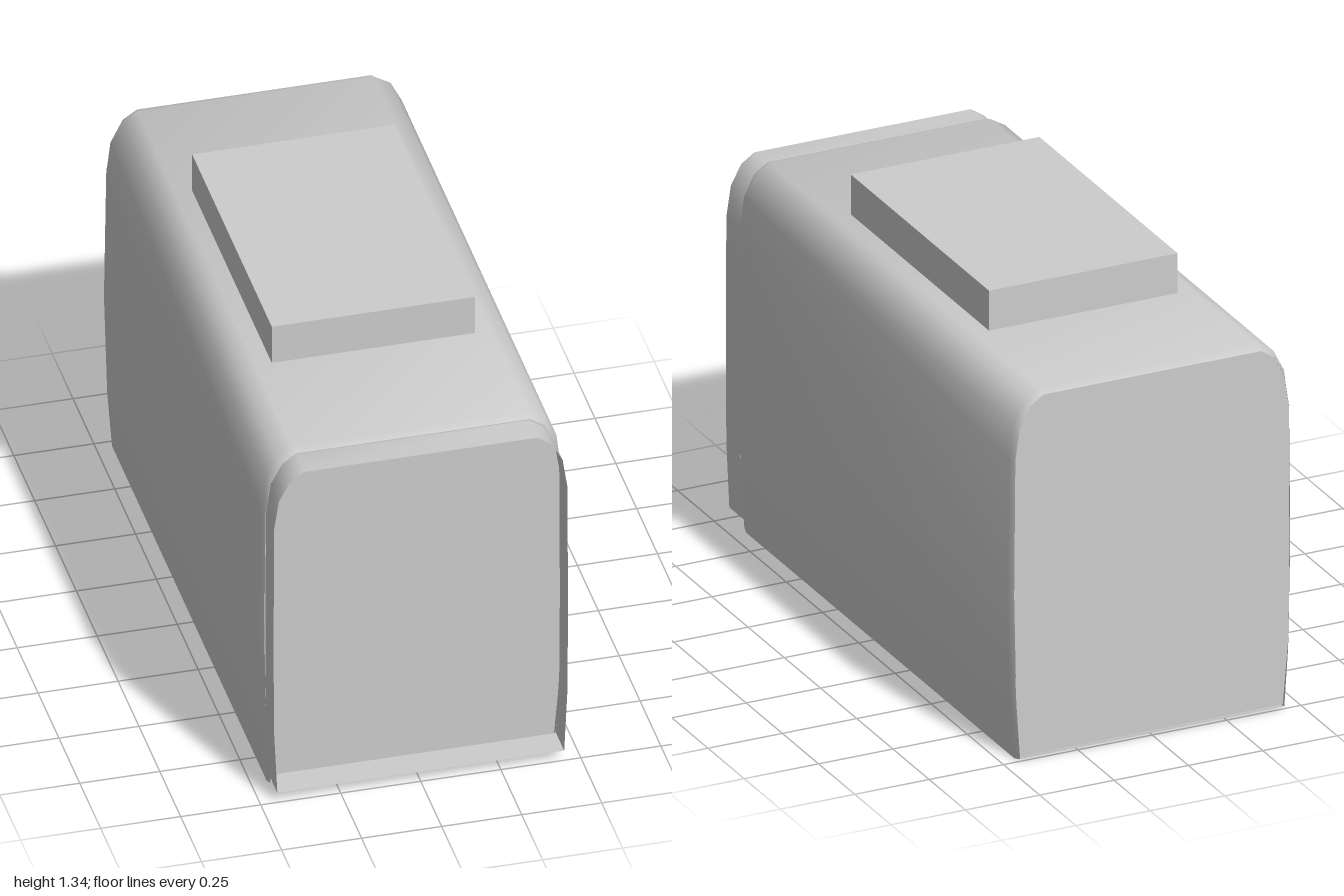
import * as THREE from 'three';
import { toCreasedNormals } from 'three/addons/utils/BufferGeometryUtils.js';

// Right half of each outline, from the bottom corner up to the flat top
const OUTER = [[0.45, 0], [0.465, 0.2], [0.475, 0.55], [0.468, 1.0], [0.455, 1.11], [0.42, 1.18], [0.37, 1.21]];
const LIP = [[0.444, 0.008], [0.457, 0.2], [0.464, 0.55], [0.46, 1.0], [0.445, 1.1], [0.41, 1.17], [0.366, 1.2]];
const PANEL = [[0.44, 0.015], [0.46, 0.25], [0.462, 0.55], [0.46, 1.0], [0.445, 1.1], [0.41, 1.17], [0.366, 1.2]];
const RIM = [[0.448, 0.035], [0.458, 0.25], [0.46, 0.55], [0.458, 1.0], [0.443, 1.1], [0.408, 1.165], [0.364, 1.195]];

// Mirror a half outline into a closed loop
const mirror = (half) => [...half, ...half.slice().reverse().map(([x, y]) => [-x, y])];

// Open tube through cross-sections [half outline, z]
function loft(sections) {
  const positions = [];
  const index = [];
  const loops = sections.map(([half, z]) => mirror(half).map(([x, y]) => [x, y, z]));
  const n = loops[0].length;
  loops.forEach((loop) => loop.forEach((p) => positions.push(...p)));
  for (let k = 0; k < loops.length - 1; k++) {
    for (let i = 0; i < n; i++) {
      const j = (i + 1) % n;
      const a = k * n + i, b = k * n + j;
      index.push(a, b, b + n, a, b + n, a + n);
    }
  }
  const geometry = new THREE.BufferGeometry();
  geometry.setAttribute('position', new THREE.Float32BufferAttribute(positions, 3));
  geometry.setIndex(index);
  return toCreasedNormals(geometry, 0.9);
}

export function createModel() {
  const group = new THREE.Group();
  const grey = new THREE.MeshStandardMaterial({ color: 0xcccccc, side: THREE.DoubleSide });
  grey.name = 'grey';

  const add = (name, geometry, z = 0, y = 0) => {
    const mesh = new THREE.Mesh(geometry, grey);
    mesh.name = name;
    mesh.position.set(0, y, z);
    group.add(mesh);
    return mesh;
  };

  // Long rounded shell with slightly drawn-in ends
  add('bodyShell', loft([[LIP, -1], [OUTER, -0.975], [OUTER, 0.88], [LIP, 0.905]]));

  // Flat end panels
  const panel = new THREE.ShapeGeometry(new THREE.Shape(mirror(PANEL).map(([x, y]) => new THREE.Vector2(x, y))));
  add('frontPanel', panel, 0.902);
  add('backPanel', panel, -0.998).scale.z = -1;

  // Open collar standing out in front of the recessed panel
  add('frontRim', loft([[RIM, 0.9], [RIM, 1]]));

  // Flat block on the roof
  add('roofBlock', new THREE.BoxGeometry(0.634, 0.14, 0.955), -0.047, 1.272);

  return group;
}
